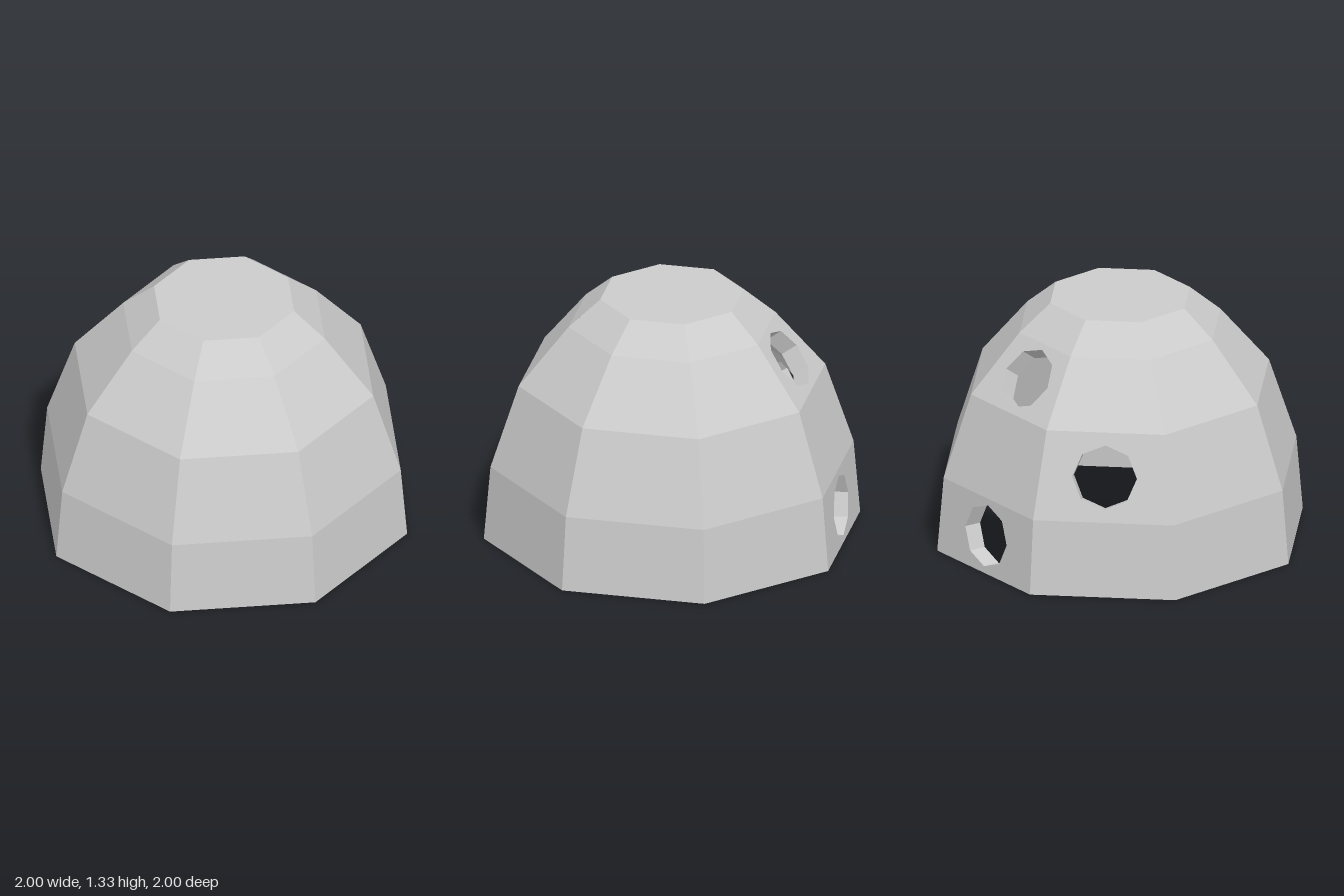
import * as THREE from 'three';

const SIDES = 8;
const STEP = (Math.PI * 2) / SIDES;
const COS = Math.cos(STEP / 2), TAN = Math.tan(STEP / 2);
const WALL = 0.1, HOLE_R = 0.17;

// Outer corner radius and height of each ring, bottom to top
const RINGS = [[1, 0], [0.965, 0.41], [0.815, 0.865], [0.55, 1.185], [0.382, 1.33]];
// Openings as [panel, tier]
const HOLES = [[3, 0], [4, 1], [3, 2]];

export function createModel() {
  const dome = new THREE.Group();
  dome.name = 'dome';
  const material = new THREE.MeshStandardMaterial({ color: 0xcccccc, flatShading: true });
  const add = (parent, geometry, name) => {
    const mesh = new THREE.Mesh(geometry, material);
    mesh.name = name;
    parent.add(mesh);
    return mesh;
  };

  // Profiles through the middle of a panel: x = distance from axis, y = height
  const outer = RINGS.map(([r, y]) => new THREE.Vector2(r * COS, y));
  const normals = outer.slice(1).map((p, i) => {
    const d = p.clone().sub(outer[i]).normalize();
    return new THREE.Vector2(d.y, -d.x);
  });
  normals.push(new THREE.Vector2(0, 1));
  // Inner profile: mitred offset of the outer one, with a level foot
  const inner = outer.map((p, i) => {
    if (i === 0) return new THREE.Vector2(p.x - WALL / normals[0].x, 0);
    const a = normals[i - 1], b = normals[i];
    return p.clone().addScaledVector(a.clone().add(b), -WALL / (1 + a.dot(b)));
  });

  // Flat trapezoid between two profile points, optionally pierced
  function facet(low, high, normal, inward, holeCentre) {
    const mid = low.clone().add(high).multiplyScalar(0.5);
    const h = low.distanceTo(high) / 2;
    const wLow = low.x * TAN, wHigh = high.x * TAN;
    const shape = new THREE.Shape([
      new THREE.Vector2(-wLow, -h), new THREE.Vector2(wLow, -h),
      new THREE.Vector2(wHigh, h), new THREE.Vector2(-wHigh, h),
    ]);
    if (holeCentre) {
      const slope = new THREE.Vector2(-normal.y, normal.x);
      const v = holeCentre.clone().sub(mid).dot(slope);
      const ring = Array.from({ length: SIDES }, (_, k) => new THREE.Vector2(
        HOLE_R * Math.cos(k * STEP), v + HOLE_R * Math.sin(k * STEP)));
      shape.holes.push(new THREE.Path(ring.reverse()));
    }
    const geometry = new THREE.ShapeGeometry(shape);
    if (inward) geometry.rotateY(Math.PI);
    return geometry.rotateX(-Math.atan2(normal.y, normal.x)).translate(0, mid.y, mid.x);
  }

  // Wall panels
  for (let k = 0; k < SIDES; k++) {
    const panel = new THREE.Group();
    panel.name = 'wallPanel' + (k + 1);
    panel.rotation.y = (k + 0.5) * STEP;
    dome.add(panel);
    for (let t = 0; t < outer.length - 1; t++) {
      const n = normals[t];
      const pierced = HOLES.some(([p, tier]) => p === k && tier === t);
      const centre = pierced ? outer[t].clone().add(outer[t + 1]).multiplyScalar(0.5) : null;
      add(panel, facet(outer[t], outer[t + 1], n, false, centre), 'outerFacet');
      add(panel, facet(inner[t], inner[t + 1], n, true, centre), 'innerFacet');
      if (!pierced) continue;
      // Sides of the opening, mirrored so they face into it
      const c = centre.addScaledVector(n, -WALL / 2);
      const tunnel = new THREE.CylinderGeometry(HOLE_R, HOLE_R, WALL, SIDES, 1, true)
        .scale(-1, 1, 1)
        .rotateX(Math.PI / 2 - Math.atan2(n.y, n.x))
        .translate(0, c.y, c.x);
      tunnel.computeVertexNormals();
      add(panel, tunnel, 'openingSides');
    }
  }

  // Flat roof, ceiling and foot rim
  const top = outer.length - 1;
  add(dome, new THREE.CircleGeometry(outer[top].x / COS, SIDES).rotateX(-Math.PI / 2), 'roof')
    .position.y = outer[top].y;
  add(dome, new THREE.CircleGeometry(inner[top].x / COS, SIDES).rotateX(Math.PI / 2), 'ceiling')
    .position.y = inner[top].y;
  add(dome, new THREE.RingGeometry(inner[0].x / COS, 1, SIDES, 1).rotateX(Math.PI / 2), 'footRim');
  return dome;
}
